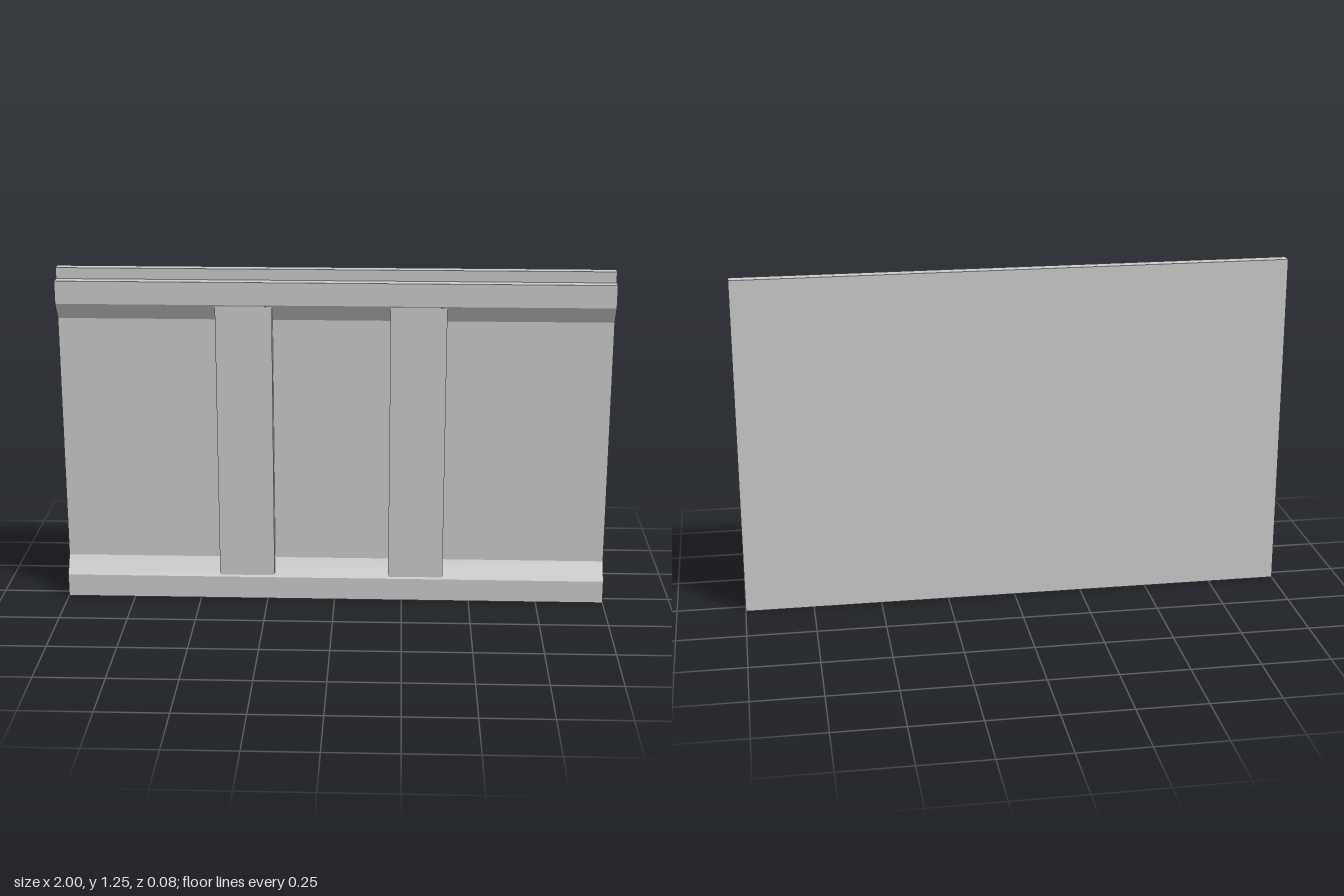
import * as THREE from 'three';

const material = new THREE.MeshStandardMaterial({ color: 0xcccccc, flatShading: true });

function addMesh(group, name, geometry) {
  const mesh = new THREE.Mesh(geometry, material);
  mesh.name = name;
  group.add(mesh);
  return mesh;
}

export function createModel() {
  const group = new THREE.Group();
  group.name = 'wallPanel';

  // Panel cross-section (z, y): flat back, chamfered rails, rebated top edge
  const d = 0.041;
  const profile = new THREE.Shape([
    [-d, 0], [d, 0], [d, 0.085], [0, 0.15], [0, 1.065],
    [d, 1.127], [d, 1.21], [0, 1.21], [0, 1.25], [-d, 1.25],
  ].map(([z, y]) => new THREE.Vector2(z, y)));
  const panel = new THREE.ExtrudeGeometry(profile, { depth: 2, bevelEnabled: false });
  panel.rotateY(-Math.PI / 2).translate(1, 0, 0);
  addMesh(group, 'panelWithRails', panel);

  // Two upright stiles, just behind the face of the rails
  const bottom = 0.092, top = 1.122, back = -0.01, front = 0.038;
  for (const [name, x0, x1] of [['rightStile', -0.428, -0.224], ['leftStile', 0.2, 0.402]]) {
    const stile = addMesh(group, name, new THREE.BoxGeometry(x1 - x0, top - bottom, front - back));
    stile.position.set((x0 + x1) / 2, (top + bottom) / 2, (front + back) / 2);
  }

  return group;
}
